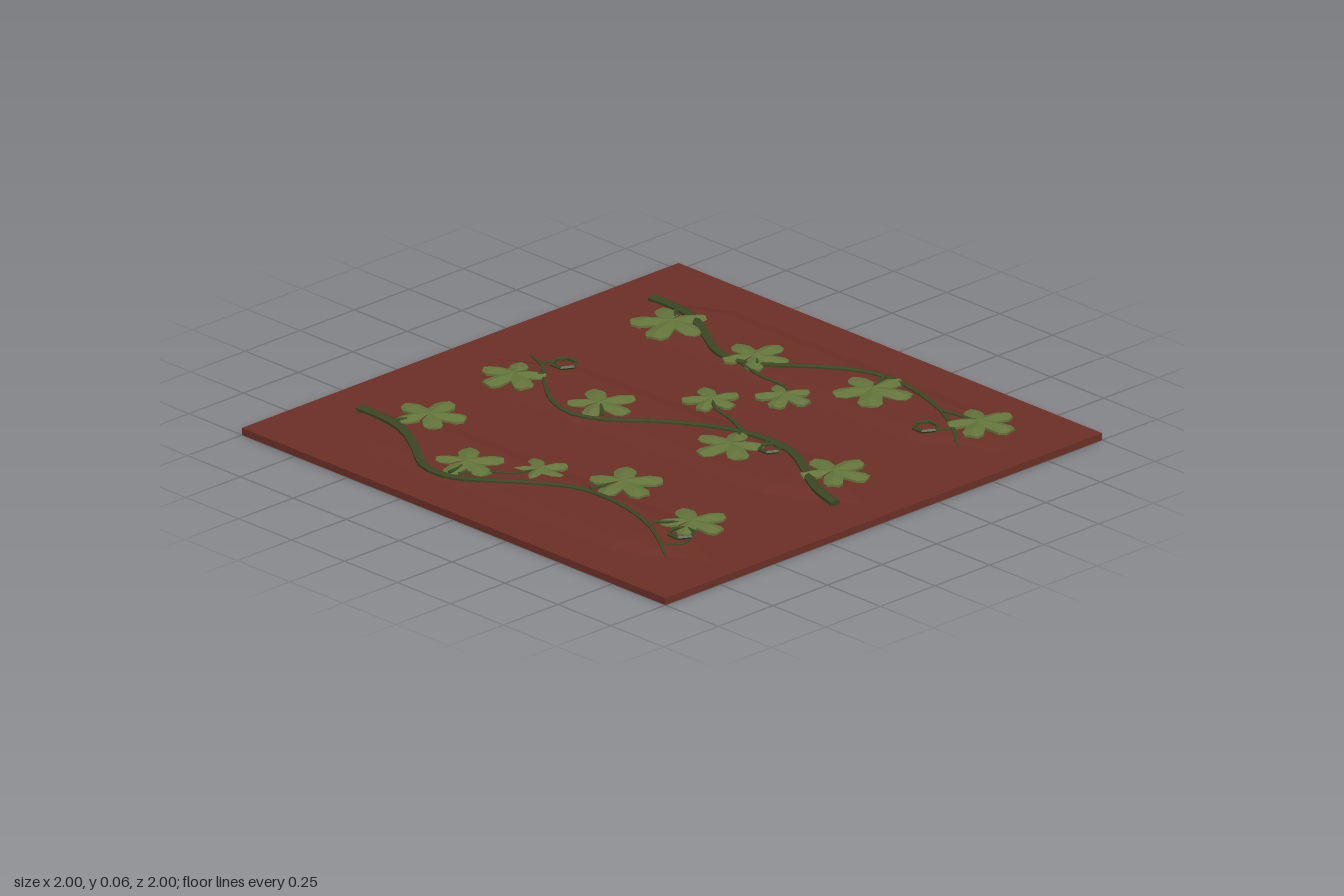
import * as THREE from 'three';
import { ConvexGeometry } from 'three/addons/geometries/ConvexGeometry.js';

const makeMaterial = (name, color) => {
  const m = new THREE.MeshStandardMaterial({ color, flatShading: true });
  m.name = name;
  return m;
};

export function createModel() {
  const model = new THREE.Group();
  model.name = 'vinePanel';
  const clay = makeMaterial('red clay', 0x6b2f25);
  const bark = makeMaterial('dark vine green', 0x3a4722);
  const leafGreen = makeMaterial('leaf green', 0x63743b);
  leafGreen.side = THREE.DoubleSide;

  const add = (name, geometry, material) => {
    const mesh = new THREE.Mesh(geometry, material);
    mesh.name = name;
    model.add(mesh);
    return mesh;
  };

  // Height of the relief under a vine, falling away towards the panel sides
  const reliefY = (x) => 0.028 + 0.016 * Math.min(1, Math.max(0, (0.9 - Math.abs(x)) / 0.3));

  // Tapered six-sided stem through [x, z] points, flattened against the panel
  function stem(name, points, r0, r1, segments, lift = 0) {
    const curve = new THREE.CatmullRomCurve3(
      points.map(([x, z]) => new THREE.Vector3(x, reliefY(x) + lift, z)));
    const geo = new THREE.TubeGeometry(curve, segments, 1, 6);
    const pos = geo.attributes.position;
    const v = new THREE.Vector3();
    for (let i = 0; i <= segments; i++) {
      // The first ring folds into a flat cap, the last one closes to a point
      const centre = curve.getPointAt(Math.max(i, 1) / segments);
      const own = curve.getPointAt(i / segments);
      const r = i === 0 ? 0 : i === segments ? 0.001 : THREE.MathUtils.lerp(r0, r1, i / segments);
      for (let j = 0; j <= 6; j++) {
        const k = i * 7 + j;
        v.fromBufferAttribute(pos, k).sub(own).multiplyScalar(r);
        v.y *= 0.55;
        v.add(centre);
        pos.setXYZ(k, v.x, v.y, v.z);
      }
    }
    geo.computeVertexNormals();
    return add(name, geo, bark);
  }

  // Five-lobed leaf: folded lobes around a raised hub, with a thin rim below
  function leafGeometry(size, hubY, edgeY) {
    const tri = [];
    const at = (deg, r, y) => {
      const a = THREE.MathUtils.degToRad(deg);
      return [Math.cos(a) * r * size, y, Math.sin(a) * r * size];
    };
    const hub = [0, hubY, 0];
    const lobes = [[0, 1.05], [70, 1], [140, 0.88], [-140, 0.88], [-70, 1]];
    for (const [deg, length] of lobes) {
      const crest = at(deg, 0.6 * length, hubY + 0.001);
      const tip = at(deg, length, edgeY + 0.005);
      for (const s of [-1, 1]) {
        const valley = at(deg + s * 36, 0.42, hubY - 0.008);
        const shoulder = at(deg + s * 21, 0.82 * length, edgeY);
        const corner = at(deg + s * 11, 0.98 * length, edgeY);
        const face = (a, b, c) => tri.push(...(s > 0 ? [a, c, b] : [a, b, c]).flat());
        face(hub, crest, valley);
        face(valley, crest, shoulder);
        face(crest, corner, shoulder);
        face(crest, tip, corner);
        const rim = [valley, shoulder, corner, tip];
        for (let i = 0; i < 3; i++) {
          const [a, b] = [rim[i], rim[i + 1]];
          const [c, d] = [a, b].map(([x, y, z]) => [x, y - 0.008, z]);
          face(a, b, c);
          face(b, d, c);
        }
      }
    }
    const geo = new THREE.BufferGeometry();
    geo.setAttribute('position', new THREE.Float32BufferAttribute(tri, 3));
    geo.computeVertexNormals();
    return geo;
  }

  // Panel
  add('panel', new THREE.BoxGeometry(2, 0.025, 2).translate(0, 0.0125, 0), clay);

  // Low raised mound beneath each vine
  for (const [z, turn] of [[-0.67, 0], [0, 0.03], [0.67, 0]]) {
    const pts = [];
    for (const sx of [-1, 1]) {
      pts.push(new THREE.Vector3(sx * 0.9, 0.0245, 0));
      for (const sz of [-1, 1]) {
        pts.push(new THREE.Vector3(sx * 0.58, 0.0245, sz * 0.18));
        pts.push(new THREE.Vector3(sx * 0.57, 0.042, sz * 0.11));
      }
    }
    const mound = add('mound', new ConvexGeometry(pts), clay);
    mound.position.z = z;
    mound.rotation.y = turn;
  }

  // Main vines, thick end first
  const vines = [
    [[-0.9, -0.725], [-0.7, -0.71], [-0.6, -0.68], [-0.47, -0.61], [-0.33, -0.535], [-0.2, -0.54],
      [-0.1, -0.62], [0.04, -0.73], [0.17, -0.785], [0.3, -0.785], [0.43, -0.755], [0.55, -0.71],
      [0.65, -0.655], [0.78, -0.555]],
    [[0.89, 0.068], [0.7, 0.02], [0.58, -0.05], [0.45, -0.12], [0.32, -0.143], [0.18, -0.12],
      [0.05, -0.06], [-0.08, 0.03], [-0.18, 0.12], [-0.3, 0.17], [-0.42, 0.14], [-0.55, 0.05],
      [-0.68, -0.06], [-0.78, -0.095]],
    [[-0.9, 0.61], [-0.7, 0.63], [-0.57, 0.67], [-0.45, 0.74], [-0.32, 0.825], [-0.2, 0.83],
      [-0.1, 0.77], [0.04, 0.66], [0.17, 0.59], [0.3, 0.58], [0.43, 0.6], [0.55, 0.64],
      [0.66, 0.7], [0.78, 0.78]],
  ];
  vines.forEach((points) => stem('vine', points, 0.021, 0.006, 30));

  // Side shoots
  stem('shoot', [[-0.24, -0.535], [-0.1, -0.5], [0.03, -0.49], [0.07, -0.45]], 0.009, 0.006, 8);
  stem('shoot', [[0.24, -0.11], [0.1, -0.175], [0, -0.2], [-0.07, -0.25]], 0.009, 0.006, 8);
  stem('shoot', [[-0.22, 0.82], [-0.13, 0.7], [-0.07, 0.65], [-0.04, 0.57]], 0.009, 0.006, 8);

  // Leaves: hub x, hub z, size, main lobe direction, foot of the leaf stalk on the vine
  const leaves = [
    [-0.62, -0.6, 0.138, 70, -0.71, -0.71], [-0.22, -0.59, 0.12, -95, -0.16, -0.54],
    [0.25, -0.68, 0.138, 50, 0.19, -0.79], [0.69, -0.74, 0.122, -12, 0.53, -0.71],
    [0.07, -0.45, 0.1, 65], [-0.07, -0.25, 0.1, -150],
    [-0.66, 0.08, 0.118, 95, -0.59, 0], [-0.29, 0.05, 0.122, -75, -0.2, 0.13],
    [0.26, -0.02, 0.125, 100, 0.19, -0.13], [0.66, -0.1, 0.125, -95, 0.59, -0.04],
    [-0.61, 0.52, 0.125, -105, -0.67, 0.65], [-0.24, 0.71, 0.122, -60, -0.21, 0.83],
    [-0.04, 0.57, 0.098, -75],
    [0.24, 0.46, 0.13, -60, 0.2, 0.59], [0.64, 0.53, 0.12, -80, 0.54, 0.64],
  ];
  for (const [x, z, size, deg, fx, fz] of leaves) {
    const small = size <= 0.1;
    const leaf = add('leaf', leafGeometry(size, small ? 0.049 : 0.057, small ? 0.037 : 0.045), leafGreen);
    leaf.position.set(x, 0, z);
    leaf.rotation.y = -THREE.MathUtils.degToRad(deg);
    if (fx !== undefined) {
      stem('leafStalk', [[fx, fz], [(fx + x) / 2 + 0.006, (fz + z) / 2], [x, z]], 0.009, 0.006, 8, 0.008);
    }
  }

  // Curled tendrils: ring x, ring z, ring radius, foot on the vine
  const tendrils = [
    [0.6, -0.58, 0.042, 0.67, -0.65], [-0.61, -0.1, 0.042, -0.68, -0.05],
    [0.375, -0.085, 0.036, 0.31, -0.14], [0.685, 0.62, 0.044, 0.7, 0.72],
  ];
  for (const [x, z, r, fx, fz] of tendrils) {
    const ring = new THREE.TorusGeometry(r, 0.007, 5, 6).rotateX(Math.PI / 2);
    add('tendrilCurl', ring, bark).position.set(x, 0.05, z);
    const side = Math.sign(fx - x);
    stem('tendril', [[fx, fz], [x + side * r * 1.25, (z + fz) / 2], [x + side * r, z]], 0.007, 0.006, 8, 0.006);
  }

  return model;
}
